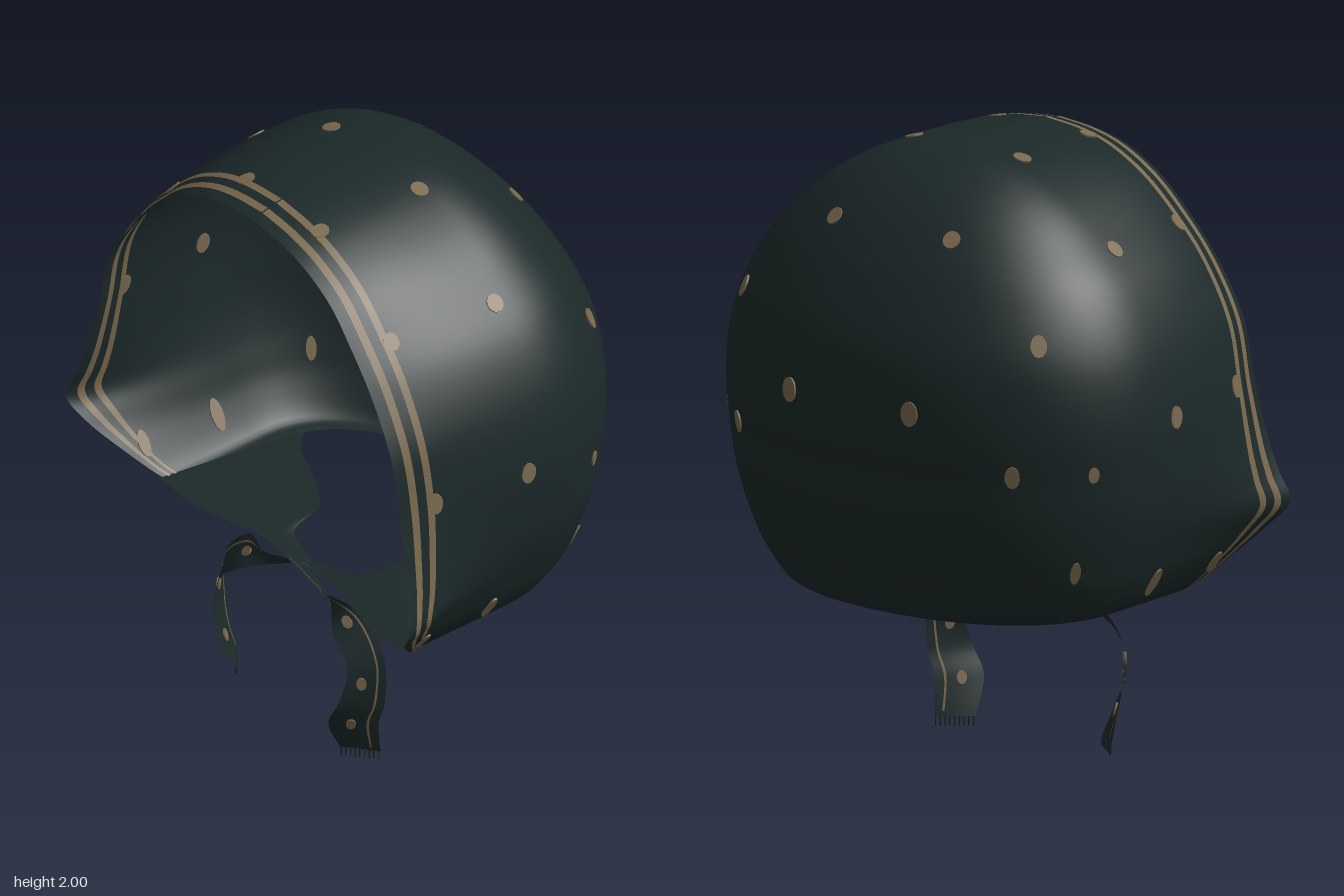
import * as THREE from 'three';
import { mergeVertices } from 'three/addons/utils/BufferGeometryUtils.js';

const fabric = new THREE.MeshStandardMaterial({ color: 0x1c2929, side: THREE.DoubleSide });
fabric.name = 'dark teal fabric';
const gold = new THREE.MeshStandardMaterial({ color: 0x7a694e, side: THREE.DoubleSide });
gold.name = 'muted gold print';

const V = (x, y, z) => new THREE.Vector3(x, y, z);
const curve = pts => new THREE.CatmullRomCurve3(pts, false, 'catmullrom', 0.5);

// Hood rows from neckline to crown: height, half width, back depth, front reach, half width at the face edge
const rows = [
  [0.572, 0.54, 0.38, 0.35, 0.54], [0.59, 0.6, 0.42, 0.39, 0.6], [0.69, 0.67, 0.48, 0.48, 0.69],
  [0.78, 0.71, 0.515, 0.55, 0.77], [0.86, 0.74, 0.535, 0.585, 0.83], [0.95, 0.765, 0.55, 0.565, 0.805],
  [1.05, 0.78, 0.56, 0.55, 0.775], [1.24, 0.79, 0.58, 0.535, 0.73], [1.45, 0.755, 0.56, 0.535, 0.685],
  [1.64, 0.665, 0.475, 0.53, 0.585], [1.78, 0.535, 0.38, 0.525, 0.475], [1.88, 0.41, 0.285, 0.52, 0.375],
  [1.95, 0.275, 0.185, 0.52, 0.255], [1.985, 0.15, 0.1, 0.52, 0.135], [2.0, 0, 0, 0.52, 0],
];
const bodyCurve = curve(rows.map(r => V(r[0], r[1], r[2])));
const edgeCurve = curve(rows.map(r => V(r[3], r[4], 0)));
const ROUND = 0.93; // slightly squared plan at the back

// Hood surface: u runs from the left face edge round the back to the right one, v runs up
function hoodPoint(u, v) {
  const { x: y, y: w, z: back } = bodyCurve.getPoint(v);
  const { x: front, y: edgeW } = edgeCurve.getPoint(v);
  const side = u <= 0.5 ? 1 : -1;
  const p = u <= 0.5 ? u * 4 : (1 - u) * 4;
  if (p > 1) {
    const a = (p - 1) * Math.PI / 2;
    return V(side * w * Math.max(0, Math.cos(a)) ** ROUND, y, -back * Math.sin(a) ** ROUND);
  }
  const t = 1 - p;
  const drop = 0.04 * t ** 4 * THREE.MathUtils.smoothstep(y, 1.2, 1.9);
  return V(side * (w + (edgeW - w) * t * t), y - drop, front * t);
}

// Local tangent and normal of a surface function
function frame(fn, u, v) {
  const e = 0.002, c = x => Math.min(1, Math.max(0, x));
  const tu = fn(c(u + e), v).sub(fn(c(u - e), v)).normalize();
  const tv = fn(u, c(v + e)).sub(fn(u, c(v - e)));
  return { tu, n: tu.clone().cross(tv).normalize() };
}
const offset = (fn, d) => (u, v) => fn(u, v).addScaledVector(frame(fn, u, v).n, d);

// Mesh from a surface function sampled on a grid
function sheet(name, mat, fn, nu, nv) {
  const pos = [], idx = [];
  for (let j = 0; j <= nv; j++)
    for (let i = 0; i <= nu; i++) pos.push(...fn(i / nu, j / nv).toArray());
  for (let j = 0; j < nv; j++)
    for (let i = 0; i < nu; i++) {
      const a = j * (nu + 1) + i, d = a + nu + 1;
      idx.push(a, a + 1, d + 1, a, d + 1, d);
    }
  let g = new THREE.BufferGeometry();
  g.setAttribute('position', new THREE.Float32BufferAttribute(pos, 3));
  g.setIndex(idx);
  g = mergeVertices(g, 1e-5);
  g.computeVertexNormals();
  const m = new THREE.Mesh(g, mat);
  m.name = name;
  return m;
}

// Thin printed spot that shows on both sides of a surface
function spot(fn, u, v, rx, ry) {
  const { tu, n } = frame(fn, u, v);
  const m = new THREE.Mesh(new THREE.CylinderGeometry(1, 1, 0.009, 14), gold);
  m.name = 'spot';
  m.scale.set(rx, 1, ry);
  m.quaternion.setFromRotationMatrix(new THREE.Matrix4().makeBasis(tu, n, tu.clone().cross(n)));
  m.position.copy(fn(u, v));
  return m;
}

// Hood coordinates of a point given by side, height and depth
function hoodUV(side, y, z) {
  let lo = 0.05, hi = 1;
  for (let i = 0; i < 30; i++) {
    const mid = (lo + hi) / 2;
    if (bodyCurve.getPoint(mid).x < y) lo = mid; else hi = mid;
  }
  const back = bodyCurve.getPoint(lo).z, front = edgeCurve.getPoint(lo).x;
  const p = z >= 0 ? 1 - z / front : 1 + Math.asin(Math.min(1, -z / back) ** (1 / ROUND)) * 2 / Math.PI;
  return [side > 0 ? p / 4 : 1 - p / 4, lo];
}

export function createModel() {
  const model = new THREE.Group();
  model.name = 'bonnet';
  model.add(sheet('hood', fabric, hoodPoint, 112, 70));

  // Twin stripes along the face edge, on both faces of the cloth, drawing together under the cheek
  for (const side of [1, -1])
    for (const [d0, d1] of [[0.036, 0.061], [0.092, 0.116]])
      for (const lift of [0.004, -0.004]) {
        const shell = offset(hoodPoint, lift);
        model.add(sheet('edgeStripe', gold, (a, v) => {
          const vv = 0.06 + 0.939 * v;
          const gather = 0.4 + 0.6 * THREE.MathUtils.smoothstep(bodyCurve.getPoint(vv).x, 0.58, 0.84);
          const p = gather * (d0 + (d1 - d0) * a) / edgeCurve.getPoint(vv).x / 4;
          return shell(side > 0 ? p : 1 - p, vv);
        }, 2, 90));
      }

  // Spots on the hood: height, depth, half width, half height
  const spots = [
    [1.79, -0.341, 0.028, 0.03], [1.28, -0.559, 0.029, 0.04], [1.51, -0.35, 0.026, 0.036], [1.1, -0.43, 0.024, 0.036],
    [1.74, 0.03, 0.028, 0.03], [1.23, 0.07, 0.027, 0.036], [1.971, 0.03, 0.028, 0.03], [1.977, 0.4, 0.03, 0.026],
    [1.75, 0.405, 0.026, 0.03], [1.25, 0.412, 0.024, 0.036], [1.1, -0.25, 0.018, 0.026],
    [0.77, -0.24, 0.017, 0.04], [0.67, 0.12, 0.022, 0.055], [0.68, 0.4, 0.02, 0.045],
  ];
  for (const side of [1, -1])
    for (const [y, z, rx, ry] of spots) model.add(spot(hoodPoint, ...hoodUV(side, y, z), rx, ry));

  for (const s of [1, -1]) {
    // Chin flap: broad by the cheek, hooked at its inner corner, then narrowing to the knot
    const foreEdge = curve([[0.6, 0.59, 0.4], [0.45, 0.588, 0.405], [0.28, 0.58, 0.365], [0.2, 0.575, 0.34],
      [0.1, 0.57, 0.325], [0, 0.565, 0.32]].map(p => V(s * p[0], p[1], p[2])));
    const rearEdge = curve([[0.53, 0.572, -0.13], [0.46, 0.57, -0.05], [0.34, 0.567, 0], [0.2, 0.565, 0.09],
      [0.15, 0.562, 0.23], [0, 0.555, 0.285]].map(p => V(s * p[0], p[1], p[2])));
    model.add(sheet('chinFlap', fabric, (u, v) => foreEdge.getPoint(u).lerp(rearEdge.getPoint(u), v), 30, 4));

    // Ribbon crossing under the chin and hanging down
    const end = s > 0 ? 0.03 : 0.055;
    const mid = curve([[-0.15, 0.578, 0.32], [0, 0.555, 0.32 + s * 0.01], [0.12, 0.525, 0.335], [0.25, 0.48, 0.345],
      [0.345, 0.385, 0.355], [0.345, 0.25, 0.37], [0.31, 0.15, 0.375], [0.3, end, 0.34]].map(p => V(s * p[0], p[1], p[2])));
    const half = curve([[0, 0.012, 0.03], [0.008, 0.02, 0.03], [0.015, 0.028, 0.03], [0.025, 0.035, -0.04],
      [0.035, 0.02, -0.045], [0.04, 0, -0.06], [0.05, 0, -0.06], [0.05, 0, -0.04]].map(p => V(s * p[0], p[1], p[2])));
    const ribbon = (u, v) => mid.getPoint(v).addScaledVector(half.getPoint(v), u * 2 - 1);
    model.add(sheet('ribbon', fabric, ribbon, 4, 50));
    for (const lift of [0.003, -0.003]) {
      const face = offset(ribbon, lift);
      model.add(sheet('ribbonStripe', gold, (u, v) => face(0.76 + 0.05 * u, 0.1 + 0.88 * v), 1, 50));
    }
    for (const [u, v] of [[0.5, 0.42], [0.4, 0.64], [0.45, 0.86]]) model.add(spot(ribbon, u, v, 0.016, 0.022));

    // Fringe threads at the ribbon end
    for (let i = 0; i < 9; i++) {
      const thread = new THREE.Mesh(new THREE.BoxGeometry(0.004, 0.032, 0.004), fabric);
      thread.name = 'fringeThread';
      thread.position.copy(ribbon(0.04 + i * 0.115, 1)).y -= 0.014;
      model.add(thread);
    }
  }
  return model;
}
